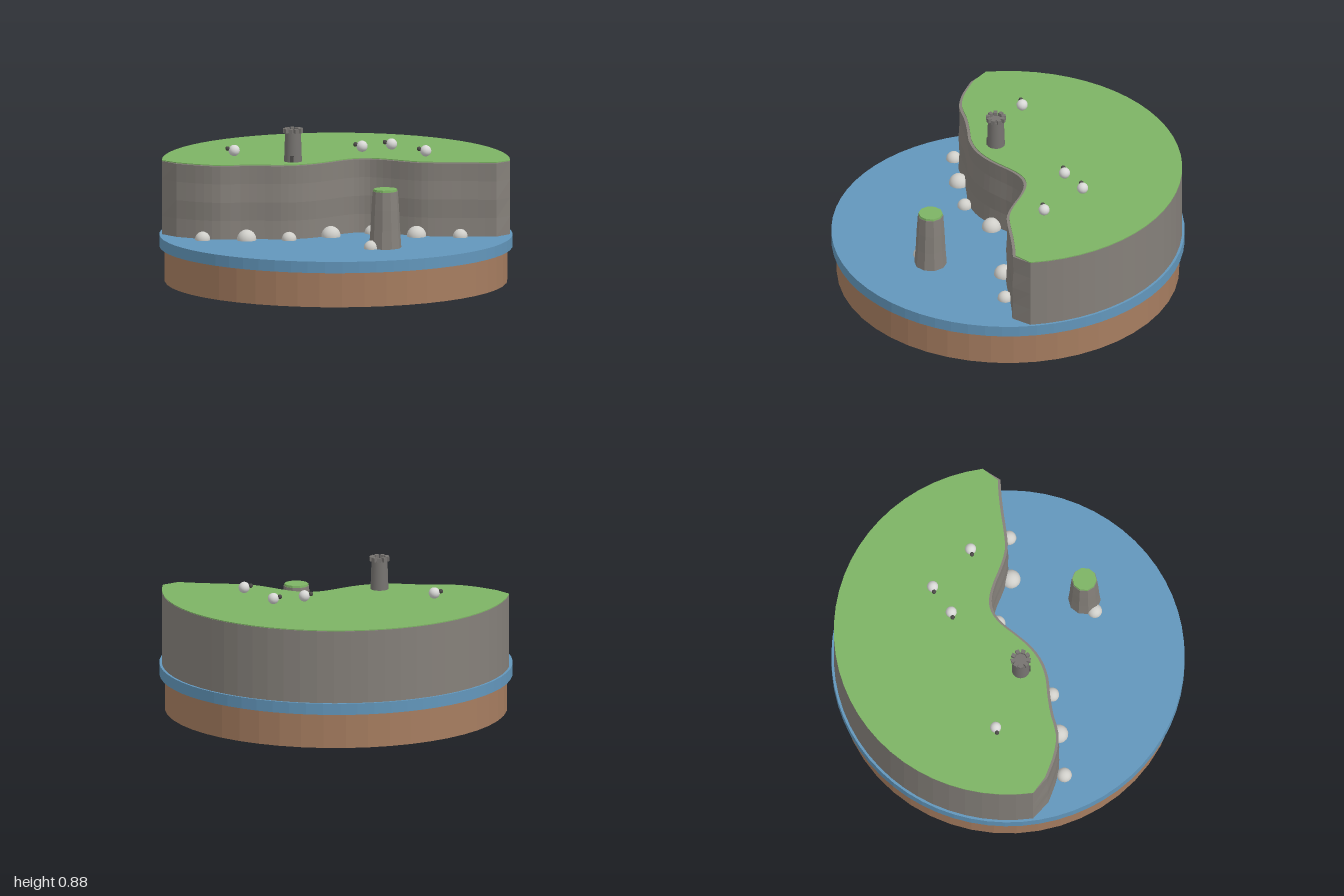
import * as THREE from 'three';

const mat = (name, color, side = THREE.FrontSide) => {
  const m = new THREE.MeshStandardMaterial({ color, side });
  m.name = name;
  return m;
};

export function createModel() {
  const root = new THREE.Group();
  root.name = 'seaCliffDiorama';
  const earth = mat('earth', 0xa67d60);
  const water = mat('water', 0x6296bb);
  const rock = mat('cliffRock', 0x85807a);
  const grass = mat('grass', 0x7db364);
  const boulderMat = mat('paleStone', 0xd0cfca);
  const wool = mat('wool', 0xd8d8d6);
  const dark = mat('darkGrey', 0x4c4a48);
  const towerMat = mat('towerStone', 0x767370);

  const add = (name, geo, material, x = 0, y = 0, z = 0, parent = root) => {
    const m = new THREE.Mesh(geo, material);
    m.name = name;
    m.position.set(x, y, z);
    parent.add(m);
    return m;
  };
  const flat = (geo) => {
    const g = geo.index ? geo.toNonIndexed() : geo;
    g.computeVertexNormals();
    return g;
  };

  // Round base and sea
  add('earthBase', flat(new THREE.CylinderGeometry(0.97, 0.97, 0.2, 48)), earth, 0, 0.1, 0);
  add('sea', flat(new THREE.CylinderGeometry(1, 1, 0.065, 64)), water, 0, 0.2325, 0);

  // Plan of the headland: winding front edge, then the round back
  const edge = new THREE.CatmullRomCurve3([
    [-0.86, -0.29], [-0.77, -0.175], [-0.68, -0.1], [-0.55, -0.055], [-0.45, -0.01],
    [-0.35, 0.04], [-0.25, 0.063], [-0.15, 0.058], [-0.05, 0.032], [0.05, 0], [0.13, -0.008],
    [0.2, 0.015], [0.27, 0.08], [0.35, 0.19], [0.42, 0.265], [0.5, 0.31], [0.62, 0.365],
    [0.72, 0.415], [0.79, 0.455],
  ].map(([x, z]) => new THREE.Vector3(x, 0, z))).getPoints(44);
  const plan = (offset) => {
    const pts = edge.map((p) => [p.x - offset * 0.4, p.z + offset]);
    for (let i = 0; i <= 32; i++) {
      const a = THREE.MathUtils.degToRad(-24.5 + 180 * i / 32);
      pts.push([0.986 * Math.cos(a), -0.986 * Math.sin(a)]);
    }
    return pts;
  };
  const plate = (pts, depth) => {
    const shape = new THREE.Shape(pts.map(([x, z]) => new THREE.Vector2(x, -z)));
    return new THREE.ExtrudeGeometry(shape, { depth, bevelEnabled: false }).rotateX(-Math.PI / 2);
  };

  // Cliff walls in gently stepped strata
  const rows = [[0.265, 0.006], [0.37, 0.001], [0.475, 0.006], [0.58, 0], [0.683, 0.003]]
    .map(([y, o]) => plan(o).map(([x, z]) => [x, y, z]));
  const pos = [];
  for (let r = 0; r < rows.length - 1; r++) {
    const lo = rows[r], hi = rows[r + 1];
    for (let i = 0; i < lo.length; i++) {
      const j = (i + 1) % lo.length;
      pos.push(...lo[i], ...lo[j], ...hi[j], ...lo[i], ...hi[j], ...hi[i]);
    }
  }
  const wall = new THREE.BufferGeometry();
  wall.setAttribute('position', new THREE.Float32BufferAttribute(pos, 3));
  wall.computeVertexNormals();
  add('cliffWall', wall, rock);
  add('cliffTop', plate(plan(0.003), 0.003), rock, 0, 0.68, 0);
  add('meadow', plate(plan(-0.012), 0.005), grass, 0, 0.684, 0);

  // Sea stack with a grassy cap
  const stackProfile = [[0, 0.265], [0.092, 0.265], [0.084, 0.375], [0.079, 0.485], [0.072, 0.588], [0, 0.588]]
    .map(([x, y]) => new THREE.Vector2(x, y));
  add('seaStack', flat(new THREE.LatheGeometry(stackProfile, 10)), rock, 0.055, 0, 0.55);
  add('stackGrass', flat(new THREE.CylinderGeometry(0.068, 0.07, 0.014, 10)), grass, 0.055, 0.593, 0.55);

  // Boulders along the foot of the cliff
  [[-0.775, -0.12, 0.043], [-0.55, -0.013, 0.055], [-0.33, 0.083, 0.042], [-0.064, 0.07, 0.055],
    [0.198, 0.06, 0.043], [0.38, 0.265, 0.055], [0.595, 0.39, 0.042], [-0.037, 0.56, 0.042]]
    .forEach(([x, z, r]) => add('boulder', new THREE.SphereGeometry(r, 16, 12), boulderMat, x, 0.27, z));

  // Sheep grazing on the meadow
  [[-0.46, -0.38], [0.26, -0.215], [0.446, -0.22], [0.52, 0.083]].forEach(([x, z]) => {
    const sheep = new THREE.Group();
    sheep.name = 'sheep';
    sheep.position.set(x, 0.72, z);
    root.add(sheep);
    add('body', new THREE.SphereGeometry(0.032, 14, 10), wool, 0, 0, 0, sheep);
    add('head', new THREE.SphereGeometry(0.013, 10, 8), dark, -0.035, 0.011, -0.013, sheep);
  });

  // Watchtower with battlements and a door
  const tower = new THREE.Group();
  tower.name = 'watchtower';
  tower.position.set(-0.237, 0.687, -0.067);
  root.add(tower);
  add('towerWall', new THREE.CylinderGeometry(0.045, 0.051, 0.17, 20), towerMat, 0, 0.085, 0, tower);
  for (let i = 0; i < 9; i++) {
    const a = (i / 9) * Math.PI * 2;
    const merlon = add('merlon', new THREE.BoxGeometry(0.022, 0.025, 0.022), towerMat,
      Math.sin(a) * 0.045, 0.178, Math.cos(a) * 0.045, tower);
    merlon.rotation.y = a;
  }
  const door = add('door', new THREE.BoxGeometry(0.02, 0.04, 0.008), dark, -0.026, 0.02, 0.043, tower);
  door.rotation.y = Math.atan2(-0.026, 0.043);

  return root;
}
